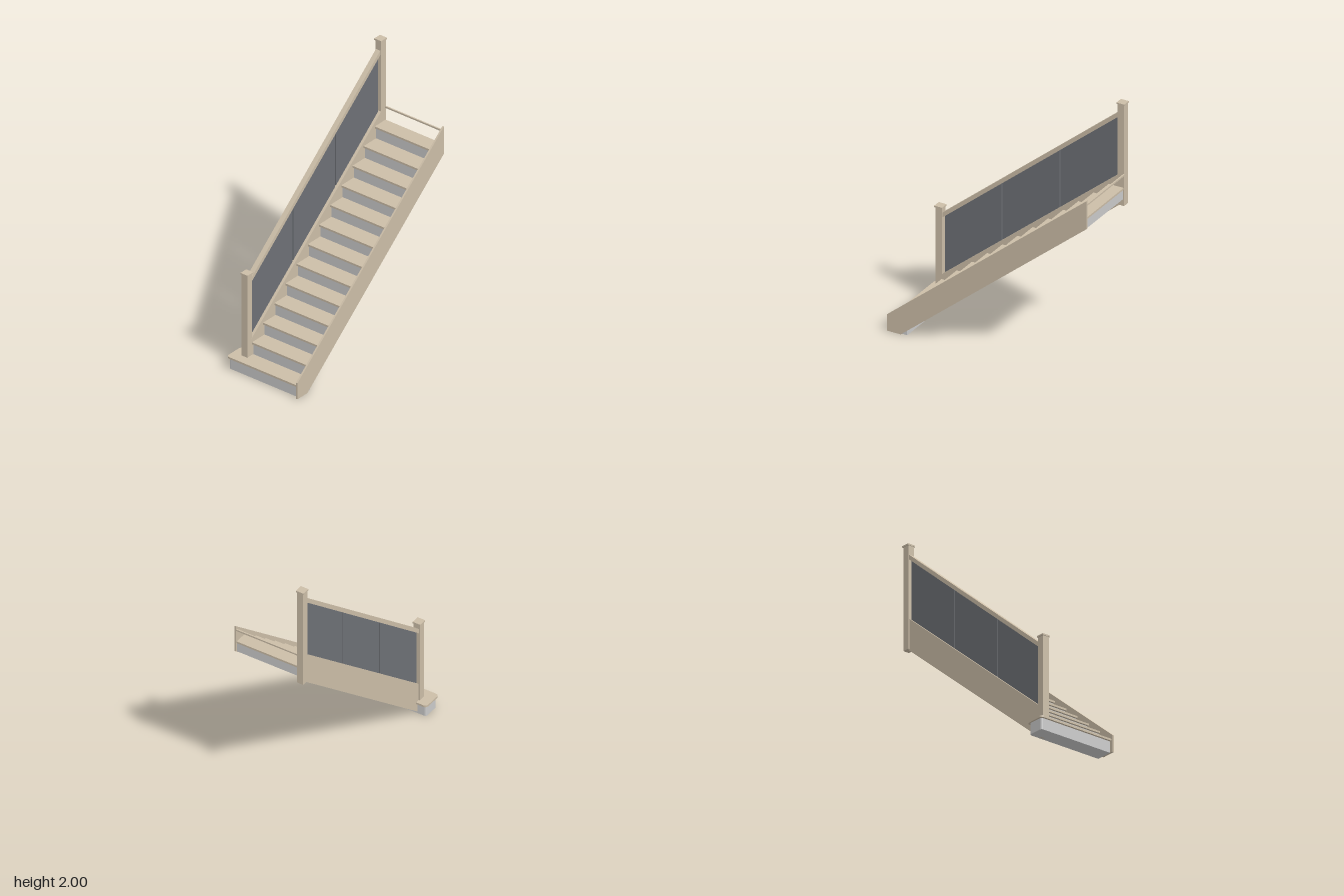
import * as THREE from 'three';

export function createModel() {
  const group = new THREE.Group();
  const mat = (name, color) => {
    const m = new THREE.MeshStandardMaterial({ color });
    m.name = name;
    return m;
  };
  const timber = mat('timber', 0xcbbda7);
  const paint = mat('greyPaint', 0xcacaca);
  const glass = mat('tintedGlass', 0x6d7075);

  const add = (name, geometry, material) => {
    const mesh = new THREE.Mesh(geometry, material);
    mesh.name = name;
    group.add(mesh);
    return mesh;
  };
  // Box given by its limits on each axis
  const box = (name, [x0, x1], [y0, y1], [z0, z1], material) => {
    const g = new THREE.BoxGeometry(x1 - x0, y1 - y0, z1 - z0);
    add(name, g.translate((x0 + x1) / 2, (y0 + y1) / 2, (z0 + z1) / 2), material);
  };
  // Side profile of [z, y] points, extruded across x
  const profile = (name, points, [x0, x1], material) => {
    const shape = new THREE.Shape(points.map(([z, y]) => new THREE.Vector2(z, y)));
    const g = new THREE.ExtrudeGeometry(shape, { depth: x1 - x0, bevelEnabled: false });
    add(name, g.rotateY(-Math.PI / 2).translate(x1, 0, 0), material);
  };
  // Horizontal slab with two rounded corners on its left-hand end
  const roundedSlab = (name, [x0, x1], [y0, y1], [z0, z1], r, material) => {
    const s = new THREE.Shape();
    s.moveTo(x1, -z1);
    s.lineTo(x1, -z0);
    s.lineTo(x0 + r, -z0);
    s.absarc(x0 + r, -z0 - r, r, Math.PI / 2, Math.PI, false);
    s.lineTo(x0, -z1 + r);
    s.absarc(x0 + r, -z1 + r, r, Math.PI, Math.PI * 1.5, false);
    const g = new THREE.ExtrudeGeometry(s, { depth: y1 - y0, bevelEnabled: false, curveSegments: 6 });
    add(name, g.rotateX(-Math.PI / 2).translate(0, y0, 0), material);
  };

  const steps = 13, rise = 0.1026, going = 0.1235, thick = 0.015, nosing = 0.015;
  const slope = 0.828, xIn = -0.199, xOut = 0.31, back = -0.803;
  const nose = (n) => 0.8 - going * (n - 1);
  const topEdge = (z) => 0.13 + slope * (0.81 - z);
  const underside = (z) => slope * (0.7 - z);

  // Risers, soffit and closing panel as one stepped body
  const body = [[0.655, 0]];
  for (let n = 1; n <= steps; n++) {
    const z = nose(n) - nosing;
    body.push([z, n === 1 ? 0 : (n - 1) * rise - thick], [z, n * rise - thick]);
  }
  body.push([back + 0.004, steps * rise - thick], [back + 0.004, underside(back)], [0.655, underside(0.655)]);
  profile('risersAndSoffit', body, [xIn, xOut], paint);

  // Treads
  for (let n = 2; n <= steps; n++) {
    const zBack = n === steps ? back : nose(n + 1) - nosing;
    box('tread', [xIn, xOut], [n * rise - thick, n * rise], [zBack, nose(n)], timber);
  }

  // Wide bottom step
  roundedSlab('bottomStepBase', [-0.313, xIn], [0, rise - thick], [0.655, 0.785], 0.015, paint);
  roundedSlab('bottomTread', [-0.325, xOut], [rise - thick, rise], [0.64, 0.8], 0.025, timber);

  // Stringers
  profile('wallStringer', [[0.81, 0], [0.81, 0.13], [-0.81, topEdge(-0.81)], [-0.81, 1.25], [0.7, 0]],
    [xOut, 0.323], timber);
  profile('openStringer', [[0.68, 0], [0.68, topEdge(0.68)], [-0.76, topEdge(-0.76)],
    [-0.76, slope * (0.67 + 0.76)], [0.67, 0]], [-0.24, -0.197], timber);

  // Newel posts with caps
  for (const [name, z, y0, y1] of [['lowerNewel', 0.7, rise, 0.775], ['upperNewel', -0.779, 1.19, 2]]) {
    box(name, [-0.249, -0.198], [y0, y1 - 0.012], [z - 0.027, z + 0.027], timber);
    box(name + 'Cap', [-0.255, -0.192], [y1 - 0.012, y1], [z - 0.032, z + 0.032], timber);
  }

  // Handrail
  const railTop = (z) => 0.728 + 0.834 * (0.673 - z);
  profile('handrail', [[0.673, railTop(0.673)], [-0.753, railTop(-0.753)],
    [-0.753, railTop(-0.753) - 0.036], [0.673, railTop(0.673) - 0.036]], [-0.243, -0.204], timber);

  // Glass panels separated by narrow gaps
  for (const [z0, z1] of [[0.662, 0.2], [0.192, -0.271], [-0.279, -0.743]]) {
    profile('glassPanel', [[z0, topEdge(z0) - 0.002], [z1, topEdge(z1) - 0.002],
      [z1, railTop(z1) - 0.034], [z0, railTop(z0) - 0.034]], [-0.227, -0.219], glass);
  }

  // Bar across the top landing
  box('landingBar', [-0.2, xOut], [1.431, 1.443], [-0.81, -0.799], timber);

  return group;
}
